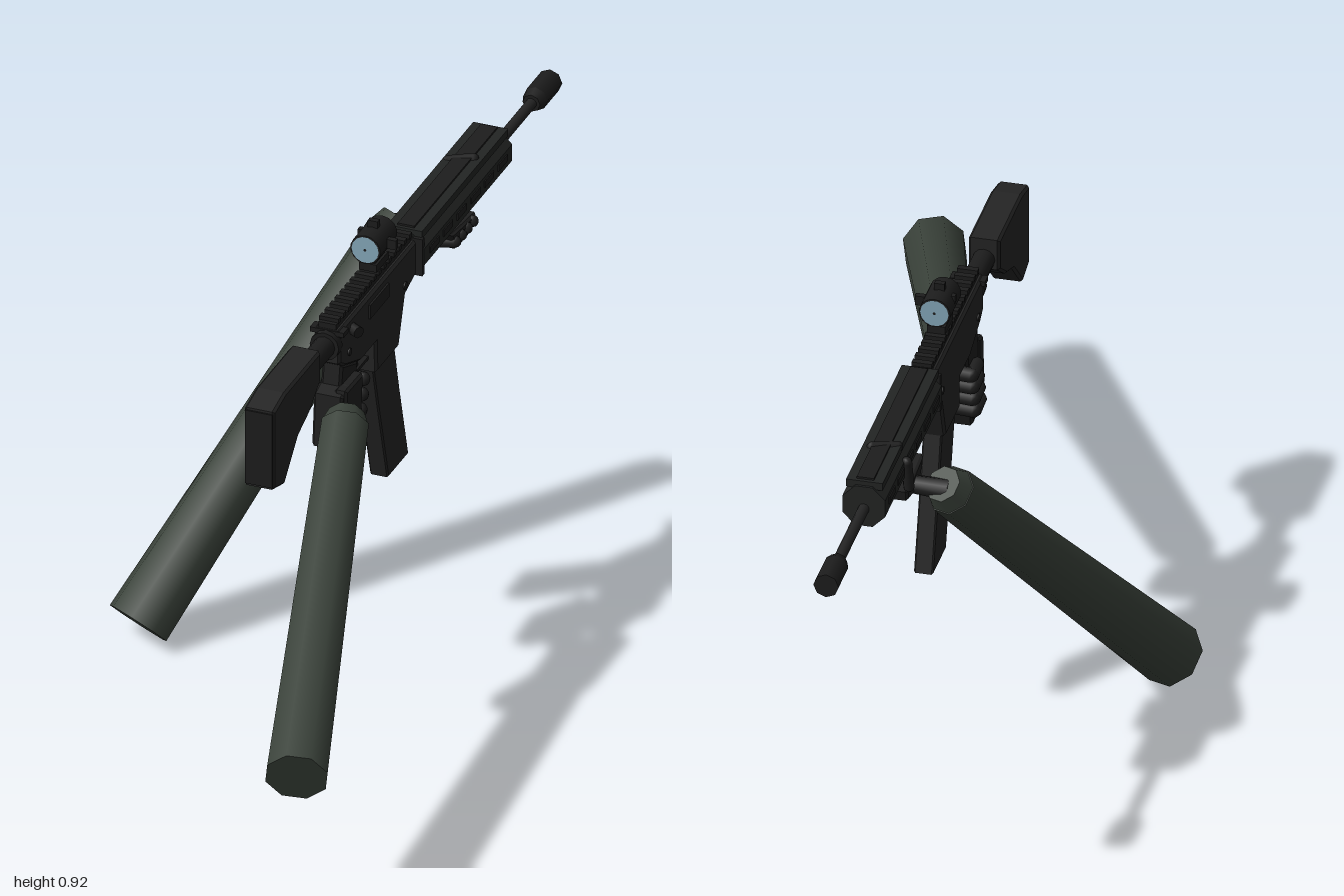
import * as THREE from 'three';

const X = 0.0625; // centre plane of the rifle
const mat = (name, color) => Object.assign(new THREE.MeshStandardMaterial({ color }), { name });

export function createModel() {
  const metal = mat('dark metal', 0x252525);
  const black = mat('black polymer', 0x1d1d1d);
  const guard = mat('handguard grey', 0x232524);
  const glove = mat('glove', 0x202020);
  const sleeve = mat('sleeve green', 0x3b433b);
  const glass = mat('lens blue', 0x86a9bb);

  const root = new THREE.Group();
  const part = (parent, name, geo, m, x = 0, y = 0, z = 0) => {
    const mesh = new THREE.Mesh(geo, m);
    mesh.name = name;
    mesh.position.set(x, y, z);
    parent.add(mesh);
    return mesh;
  };
  const group = (name) => {
    const g = new THREE.Group();
    g.name = name;
    root.add(g);
    return g;
  };
  const box = (parent, name, m, w, h, d, x, y, z) =>
    part(parent, name, new THREE.BoxGeometry(w, h, d), m, x, y, z);
  // Side profile given as [z, y] points, extruded across x with a small bevel
  const plate = (parent, name, m, pts, width, bevel = 0.005, x = X) => {
    const shape = new THREE.Shape(pts.map(([z, y]) => new THREE.Vector2(-z, y)));
    const depth = width - 2 * bevel;
    const geo = new THREE.ExtrudeGeometry(shape, {
      depth, bevelEnabled: bevel > 0, bevelThickness: bevel,
      bevelSize: bevel, bevelOffset: -bevel, bevelSegments: 1,
    });
    geo.translate(0, 0, -depth / 2).rotateY(Math.PI / 2);
    return part(parent, name, geo, m, x);
  };
  // Round bar between two points
  const rod = (parent, name, m, a, b, rA, rB = rA, sides = 8) => {
    const p = new THREE.Vector3(...a), q = new THREE.Vector3(...b);
    const mesh = part(parent, name, new THREE.CylinderGeometry(rB, rA, p.distanceTo(q), sides), m);
    mesh.position.copy(p).lerp(q, 0.5);
    mesh.quaternion.setFromUnitVectors(new THREE.Vector3(0, 1, 0), q.sub(p).normalize());
    return mesh;
  };
  const finger = (parent, name, a, b, r) => {
    const p = new THREE.Vector3(...a), q = new THREE.Vector3(...b);
    const mesh = part(parent, name, new THREE.CapsuleGeometry(r, p.distanceTo(q), 3, 8), glove);
    mesh.position.copy(p).lerp(q, 0.5);
    mesh.quaternion.setFromUnitVectors(new THREE.Vector3(0, 1, 0), q.sub(p).normalize());
  };

  // Stock and buffer tube
  const stock = group('stock');
  plate(stock, 'stockBody', metal, [[0.468, 0.81], [0.41, 0.823], [0.233, 0.823], [0.233, 0.757],
    [0.29, 0.716], [0.345, 0.695], [0.415, 0.625], [0.468, 0.64]], 0.062);
  box(stock, 'buttPad', black, 0.056, 0.16, 0.008, X, 0.725, 0.467);
  rod(stock, 'bufferTube', black, [X, 0.778, 0.24], [X, 0.778, 0.12], 0.022, 0.022, 12);
  rod(stock, 'tubeCollar', black, [X, 0.778, 0.14], [X, 0.778, 0.12], 0.03, 0.03, 12);

  // Receiver with magazine well, trigger and top rail
  const receiver = group('receiver');
  plate(receiver, 'receiverBody', metal, [[0.126, 0.81], [-0.26, 0.81], [-0.26, 0.737], [-0.205, 0.72],
    [-0.172, 0.623], [-0.06, 0.623], [-0.057, 0.69], [0.02, 0.69], [0.1, 0.72], [0.126, 0.737]], 0.054);
  box(receiver, 'topRail', black, 0.036, 0.016, 0.38, X, 0.814, -0.065);
  for (let i = 0; i < 15; i++)
    box(receiver, 'railTooth', black, 0.04, 0.01, 0.013, X, 0.825, 0.11 - i * 0.0255);
  box(receiver, 'ejectionPort', black, 0.006, 0.03, 0.095, X + 0.028, 0.778, -0.065);
  rod(receiver, 'forwardAssist', black, [X + 0.02, 0.785, 0.06], [X + 0.045, 0.785, 0.075], 0.012);
  box(receiver, 'chargingHandle', black, 0.07, 0.01, 0.025, X, 0.803, 0.115);
  for (const z of [0.08, -0.2])
    rod(receiver, 'pin', black, [X - 0.03, 0.742, z], [X + 0.03, 0.742, z], 0.008);
  box(receiver, 'triggerGuard', black, 0.02, 0.007, 0.08, X, 0.653, -0.02);
  box(receiver, 'trigger', black, 0.01, 0.035, 0.008, X, 0.672, -0.015);
  box(receiver, 'guardPost', black, 0.02, 0.04, 0.007, X, 0.67, 0.018);
  plate(receiver, 'pistolGrip', black,
    [[0.1, 0.72], [0.02, 0.69], [0.065, 0.507], [0.135, 0.518]], 0.042);
  plate(receiver, 'magazine', metal,
    [[-0.062, 0.63], [-0.168, 0.63], [-0.195, 0.52], [-0.24, 0.352], [-0.137, 0.352], [-0.085, 0.54]], 0.038, 0.003);

  // Eight-sided handguard
  const fore = group('handguard');
  const octagon = new THREE.CylinderGeometry(0.047, 0.047, 0.445, 8).toNonIndexed();
  octagon.rotateY(Math.PI / 8).rotateX(Math.PI / 2).scale(0.97, 1, 1);
  octagon.computeVertexNormals();
  part(fore, 'handguardBody', octagon, guard, X, 0.775, -0.4825);
  box(fore, 'handguardRail', guard, 0.072, 0.016, 0.435, X, 0.82, -0.4825);
  box(fore, 'railRidge', black, 0.034, 0.008, 0.42, X, 0.828, -0.4825);
  box(fore, 'rearCollar', black, 0.08, 0.08, 0.01, X, 0.775, -0.262);
  for (const s of [-1, 1])
    for (let i = 0; i < 6; i++)
      box(fore, 'sideSlot', black, 0.004, 0.014, 0.045, X + s * 0.0425, 0.778, -0.31 - i * 0.069);

  // Barrel and muzzle
  const barrel = group('barrel');
  rod(barrel, 'barrelTube', metal, [X, 0.77, -0.68], [X, 0.77, -0.92], 0.011, 0.011, 10);
  rod(barrel, 'muzzleTaper', black, [X, 0.77, -0.905], [X, 0.77, -0.925], 0.018, 0.025);
  rod(barrel, 'muzzleBrake', black, [X, 0.77, -0.925], [X, 0.77, -1], 0.025);

  // Compact sight
  const sight = group('sight');
  rod(sight, 'sightTube', black, [X, 0.883, -0.067], [X, 0.883, -0.153], 0.031, 0.031, 14);
  for (const [z, ry] of [[-0.066, 0], [-0.154, Math.PI]]) {
    part(sight, 'lens', new THREE.CircleGeometry(0.028, 14), glass, X, 0.883, z).rotation.y = ry;
    part(sight, 'aimingDot', new THREE.CircleGeometry(0.003, 8), black, X, 0.883, z + (ry ? -0.001 : 0.001)).rotation.y = ry;
  }
  box(sight, 'sightBase', black, 0.036, 0.016, 0.06, X, 0.838, -0.11);
  box(sight, 'sightNeck', black, 0.026, 0.02, 0.05, X, 0.853, -0.11);
  box(sight, 'topKnob', black, 0.02, 0.022, 0.012, X, 0.916, -0.11);
  box(sight, 'sideKnob', black, 0.022, 0.02, 0.012, X + 0.037, 0.883, -0.11);
  box(sight, 'smallTab', black, 0.012, 0.016, 0.012, X - 0.025, 0.895, -0.11);

  // Sleeves: tapered arms with a chamfered cuff
  const arm = (name, far, near, cuff, rFar, rNear) => {
    const g = group(name);
    rod(g, 'sleeve', sleeve, far, near, rFar, rNear);
    rod(g, 'cuff', sleeve, near, cuff, rNear * 0.96, rNear * 0.74);
    return g;
  };
  const support = arm('supportArm', [-0.35, 0.05, 0.072], [-0.05, 0.69, -0.47], [-0.039, 0.714, -0.49], 0.066, 0.05);
  const trigger = arm('triggerArm', [0.347, 0.328, 0.975], [0.115, 0.627, 0.165], [0.107, 0.637, 0.137], 0.063, 0.049);

  // Supporting hand under the handguard
  rod(support, 'wrist', glove, [-0.05, 0.7, -0.485], [0.03, 0.703, -0.485], 0.022, 0.018);
  plate(support, 'palm', glove, [[-0.425, 0.735], [-0.55, 0.722], [-0.545, 0.7], [-0.5, 0.69], [-0.45, 0.693]], 0.08, 0.005, 0.055);
  for (let i = 0; i < 4; i++)
    finger(support, 'finger', [0.06, 0.708, -0.44 - i * 0.029], [0.093, 0.712, -0.445 - i * 0.029], 0.0125);
  finger(support, 'thumb', [0.015, 0.73, -0.54], [0.017, 0.79, -0.55], 0.011);
  finger(support, 'thumbTip', [0.035, 0.822, -0.55], [0.08, 0.826, -0.57], 0.011);

  // Gripping hand around the pistol grip
  plate(trigger, 'palm', glove, [[0.125, 0.68], [0.04, 0.678], [0.05, 0.55], [0.075, 0.535], [0.14, 0.55]], 0.026, 0.005, 0.09);
  plate(trigger, 'palmHeel', glove, [[0.135, 0.67], [0.1, 0.68], [0.11, 0.55], [0.145, 0.56]], 0.06, 0.005, 0.068);
  for (let i = 0; i < 4; i++) {
    const y = 0.652 - i * 0.03, z = 0.02 + i * 0.007;
    finger(trigger, 'finger', [0.034, y - 0.004, z], [0.092, y, z], 0.0155);
    finger(trigger, 'fingerTip', [0.032, y - 0.004, z + 0.005], [0.034, y - 0.006, z + 0.045], 0.0145);
  }
  return root;
}
